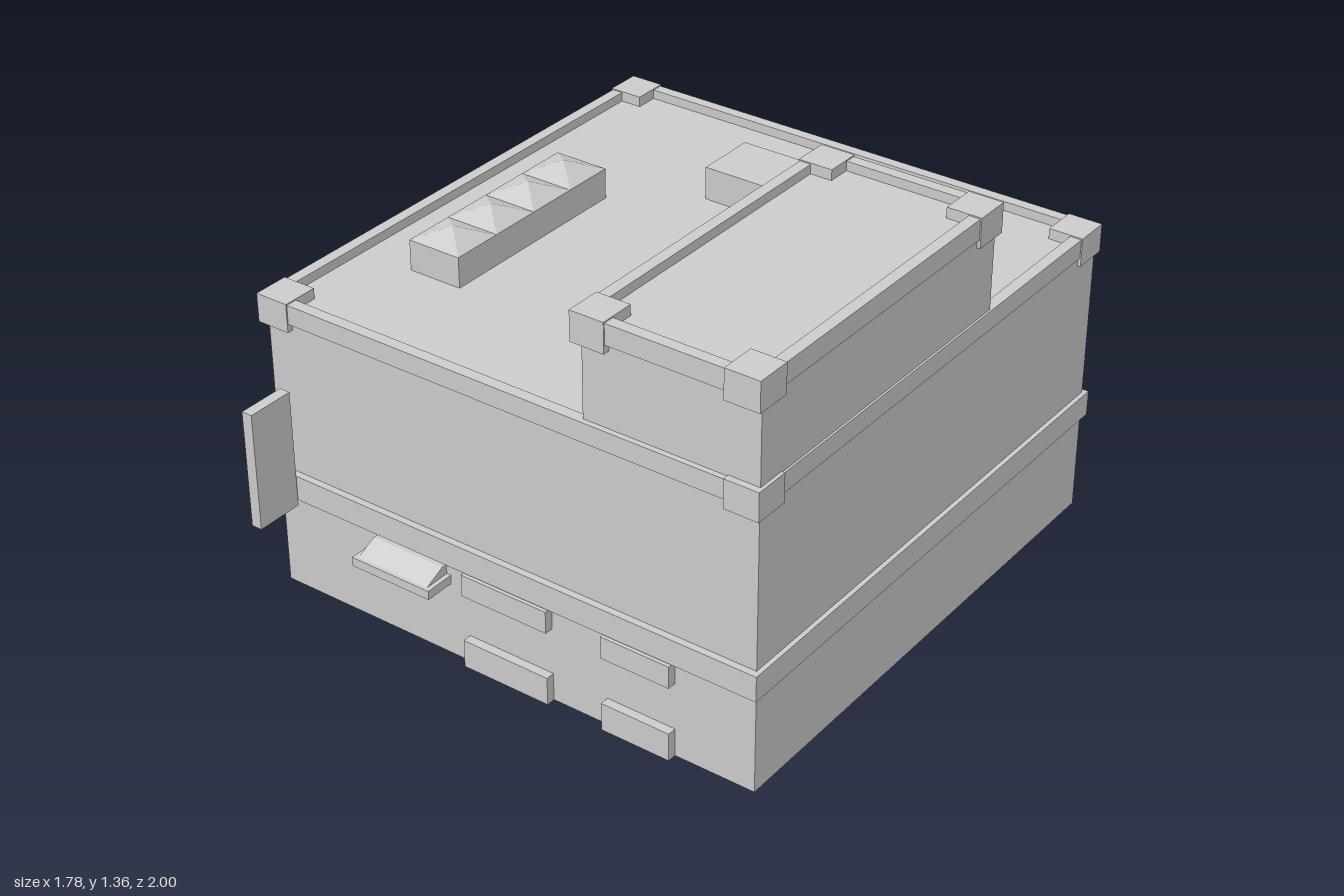
import * as THREE from 'three';

const grey = new THREE.MeshStandardMaterial({ color: 0xcccccc, flatShading: true });
const thin = new THREE.MeshStandardMaterial({ color: 0xcccccc, flatShading: true, side: THREE.DoubleSide });

export function createModel() {
  const model = new THREE.Group();

  function add(name, geometry, parent = model, material = grey) {
    const mesh = new THREE.Mesh(geometry, material);
    mesh.name = name;
    parent.add(mesh);
    return mesh;
  }

  // Box given by its extents on each axis
  function box(name, [x0, x1], [y0, y1], [z0, z1], parent = model) {
    const mesh = add(name, new THREE.BoxGeometry(x1 - x0, y1 - y0, z1 - z0), parent);
    mesh.position.set((x0 + x1) / 2, (y0 + y1) / 2, (z0 + z1) / 2);
    return mesh;
  }

  const rect = (Type, [x0, x1], [z0, z1]) => new Type([
    new THREE.Vector2(x0, -z0), new THREE.Vector2(x0, -z1),
    new THREE.Vector2(x1, -z1), new THREE.Vector2(x1, -z0),
  ]);

  // Rectangular ring of a given width around a plan outline
  function ring(name, x, [y0, y1], z, width, parent = model, material = grey) {
    const shape = rect(THREE.Shape, x, z);
    shape.holes.push(rect(THREE.Path, [x[0] + width, x[1] - width], [z[0] + width, z[1] - width]));
    const geometry = new THREE.ExtrudeGeometry(shape, { depth: y1 - y0, bevelEnabled: false });
    geometry.rotateX(-Math.PI / 2).translate(0, y0, 0);
    return add(name, geometry, parent, material);
  }

  // Parapet rail with a heavier block on every corner
  function parapet(name, [x0, x1], [z0, z1], bottom, top) {
    const group = new THREE.Group();
    group.name = name;
    model.add(group);
    const e = 0.004, s = 0.115;
    ring('parapetRail', [x0 + e, x1 - e], [bottom + 0.027, top - e], [z0 + e, z1 - e], 0.038, group);
    for (const x of [[x0, x0 + s], [x1 - s, x1]]) {
      for (const z of [[z0, z0 + s + 0.005], [z1 - s - 0.005, z1]]) {
        box('cornerBlock', x, [bottom, top], z, group);
      }
    }
  }

  const bodyX = [-0.87, 0.877], bodyZ = [-0.985, 0.81];

  // Hollow ground floor, open underneath
  const w = bodyX[1] - bodyX[0], d = bodyZ[1] - bodyZ[0];
  const walls = new THREE.Group();
  walls.name = 'groundFloorWalls';
  model.add(walls);
  for (const [i, x] of bodyX.entries()) {
    const side = add('sideWall', new THREE.PlaneGeometry(d, 0.415), walls, thin);
    side.rotation.y = i ? Math.PI / 2 : -Math.PI / 2;
    side.position.set(x, 0.2075, (bodyZ[0] + bodyZ[1]) / 2);
  }
  for (const [i, z] of bodyZ.entries()) {
    const end = add('endWall', new THREE.PlaneGeometry(w, 0.415), walls, thin);
    end.rotation.y = i ? 0 : Math.PI;
    end.position.set((bodyX[0] + bodyX[1]) / 2, 0.2075, z);
  }

  // Upper floors, string course and roof edge
  box('upperFloors', bodyX, [0.415, 0.98], bodyZ);
  ring('stringCourse', [-0.892, 0.892], [0.335, 0.42], [-1, 0.833], 0.024);
  parapet('mainParapet', [-0.892, 0.888], [-1, 0.83], 0.92, 1.015);

  // Rooftop block
  box('penthouse', [0.292, 0.877], [0.97, 1.32], [-0.355, 0.808]);
  parapet('penthouseParapet', [0.27, 0.888], [-0.375, 0.832], 1.257, 1.355);

  // Rooftop fittings
  box('ventilationUnit', [-0.22, 0.123], [0.975, 1.09], [-0.69, -0.477]);
  box('skylightBase', [-0.662, -0.474], [0.975, 1.082], [-0.298, 0.412]);
  const pitch = 0.71 / 4;
  for (let i = 0; i < 4; i++) {
    const pyramid = new THREE.ConeGeometry(Math.SQRT1_2, 0.038, 4, 1, true).rotateY(Math.PI / 4);
    pyramid.scale(0.188, 1, pitch);
    add('skylightPyramid', pyramid).position.set(-0.568, 1.101, -0.298 + pitch * (i + 0.5));
  }

  // Shopfront: window and door surrounds, awning and blade sign
  for (const x of [[-0.145, 0.167], [0.364, 0.603]]) {
    box('upperShopPanel', x, [0.255, 0.33], [0.8, 0.84]);
    box('lowerShopPanel', x, [0, 0.095], [0.8, 0.84]);
  }
  box('awningSlab', [-0.505, -0.21], [0.255, 0.285], [0.8, 0.912]);
  const slope = new THREE.Shape([
    new THREE.Vector2(-0.8, 0.285), new THREE.Vector2(-0.9, 0.285),
    new THREE.Vector2(-0.83, 0.318), new THREE.Vector2(-0.8, 0.318),
  ]);
  const awning = new THREE.ExtrudeGeometry(slope, { depth: 0.264, bevelEnabled: false });
  awning.rotateY(Math.PI / 2).translate(-0.489, 0, 0);
  add('awningSlope', awning);
  box('bladeSign', [-0.82, -0.783], [0.32, 0.72], [0.838, 1]);

  return model;
}
